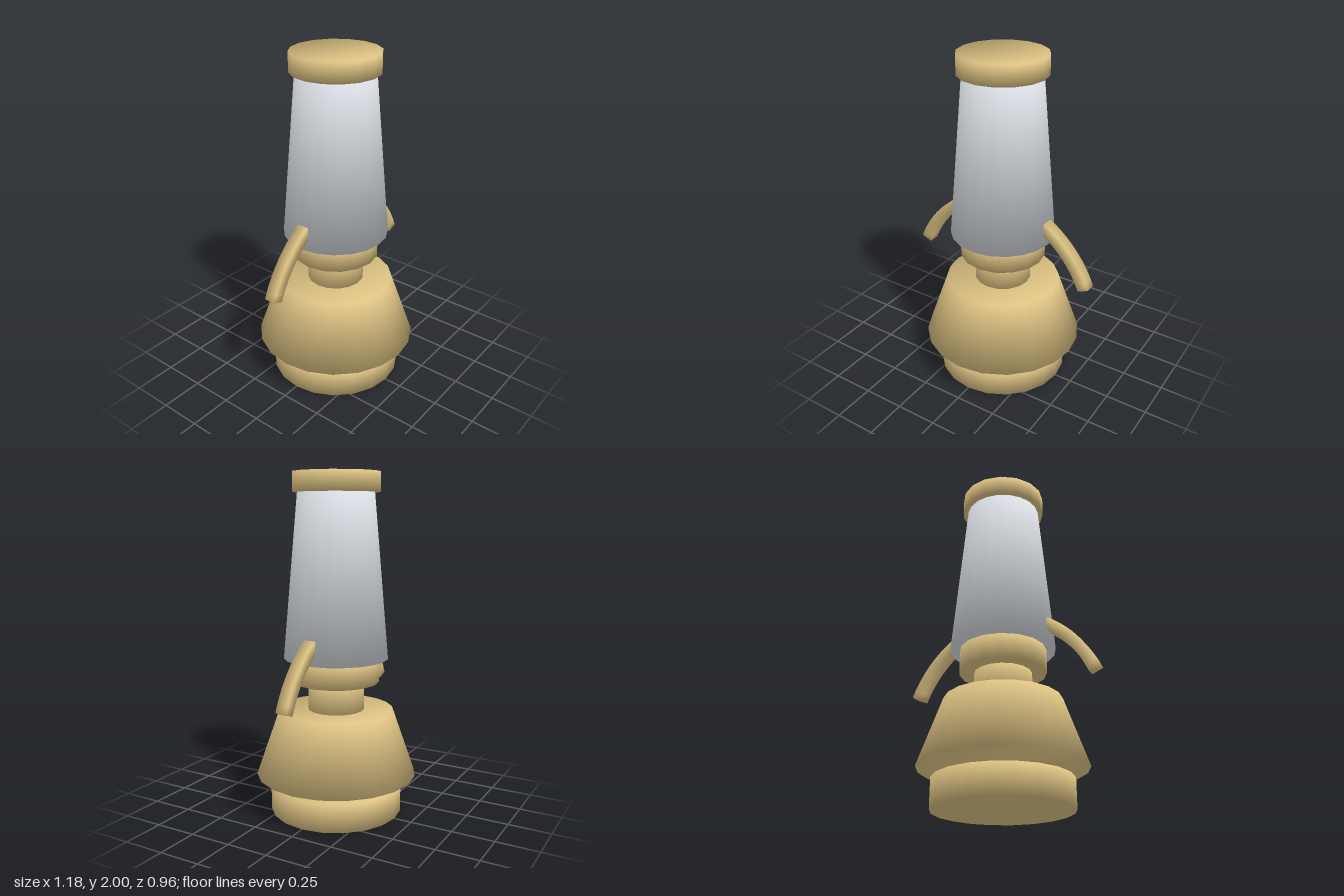
import * as THREE from 'three';

// Closed solid lofted through rings of { p, n } points; rim normals are shared with the end caps
function loft(rings) {
  const count = rings[0].length, positions = [], normals = [], index = [];
  rings.flat().forEach(({ p, n }) => {
    positions.push(p.x, p.y, p.z);
    normals.push(n.x, n.y, n.z);
  });
  for (let k = 0; k < rings.length - 1; k++) {
    for (let i = 0; i < count; i++) {
      const a = k * count + i, b = k * count + (i + 1) % count;
      index.push(a, b, b + count, a, b + count, a + count);
    }
  }
  // end caps in strips, without a centre point
  const last = (rings.length - 1) * count;
  for (let lo = 0, hi = count - 1; hi - lo > 1;) {
    index.push(hi, lo + 1, lo, last + lo, last + lo + 1, last + hi);
    lo++;
    if (hi - lo > 1) {
      index.push(hi, hi - 1, lo, last + lo, last + hi - 1, last + hi);
      hi--;
    }
  }
  const g = new THREE.BufferGeometry();
  g.setAttribute('position', new THREE.Float32BufferAttribute(positions, 3));
  g.setAttribute('normal', new THREE.Float32BufferAttribute(normals, 3));
  g.setIndex(index);
  return g;
}

// Upright drum or cone with a corner at the front
function drum(r0, r1, y0, y1, sides) {
  const slope = (r0 - r1) / (y1 - y0);
  const ring = (radius, y, capNormal) => Array.from({ length: sides }, (_, i) => {
    const a = (i / sides) * Math.PI * 2, x = Math.sin(a), z = Math.cos(a);
    const n = new THREE.Vector3(x, slope, z).normalize();
    n.y += capNormal;
    return { p: new THREE.Vector3(x * radius, y, z * radius), n: n.normalize() };
  });
  return loft([ring(r0, y0, -1), ring(r1, y1, 1)]);
}

// Square bar bent along an arc; side is 1 for left, -1 for right (half turn about y)
function bentBar(side) {
  const half = 0.034, bend = 0.71, steps = 10;
  const start = THREE.MathUtils.degToRad(58), end = THREE.MathUtils.degToRad(22.6);
  const corners = [[1, 1], [-1, 1], [-1, -1], [1, -1]];
  const rings = [];
  for (let k = 0; k <= steps; k++) {
    const a = start + (end - start) * (k / steps);
    const out = new THREE.Vector3(Math.cos(a) * side, Math.sin(a), 0);
    const along = new THREE.Vector3(Math.sin(a) * side, -Math.cos(a), 0);
    const cap = k === 0 ? -1 : k === steps ? 1 : 0;
    rings.push(corners.map(([u, v]) => {
      const p = out.clone().multiplyScalar(bend + u * half);
      p.add(new THREE.Vector3(-0.095 * side, 0.444, v * half * side));
      const n = out.clone().multiplyScalar(u).addScaledVector(along, cap);
      n.z = v * side;
      return { p, n: n.normalize() };
    }));
  }
  return loft(rings);
}

export function createModel() {
  const model = new THREE.Group();
  model.name = 'lantern';

  const brass = new THREE.MeshStandardMaterial({ color: 0xdcc182 });
  brass.name = 'brass';
  const paleGrey = new THREE.MeshStandardMaterial({ color: 0xd9dde3 });
  paleGrey.name = 'paleGrey';

  const add = (name, geometry, material) => {
    const mesh = new THREE.Mesh(geometry, material);
    mesh.name = name;
    model.add(mesh);
  };

  // Stacked round parts: name, bottom radius, top radius, bottom y, top y, sides
  const stack = [
    ['base', 0.394, 0.394, 0, 0.17, 20, brass],
    ['skirt', 0.478, 0.34, 0.227, 0.62, 20, brass],
    ['neck', 0.168, 0.168, 0.6, 0.8, 16, brass],
    ['collar', 0.254, 0.254, 0.788, 0.935, 16, brass],
    ['chimney', 0.309, 0.222, 0.93, 1.9, 20, paleGrey],
    ['cap', 0.254, 0.254, 1.887, 2, 16, brass],
  ];
  for (const [name, r0, r1, y0, y1, sides, material] of stack) {
    add(name, drum(r0, r1, y0, y1, sides), material);
  }

  // Curved arms drooping from the sides of the chimney
  add('leftArm', bentBar(1), brass);
  add('rightArm', bentBar(-1), brass);

  return model;
}
